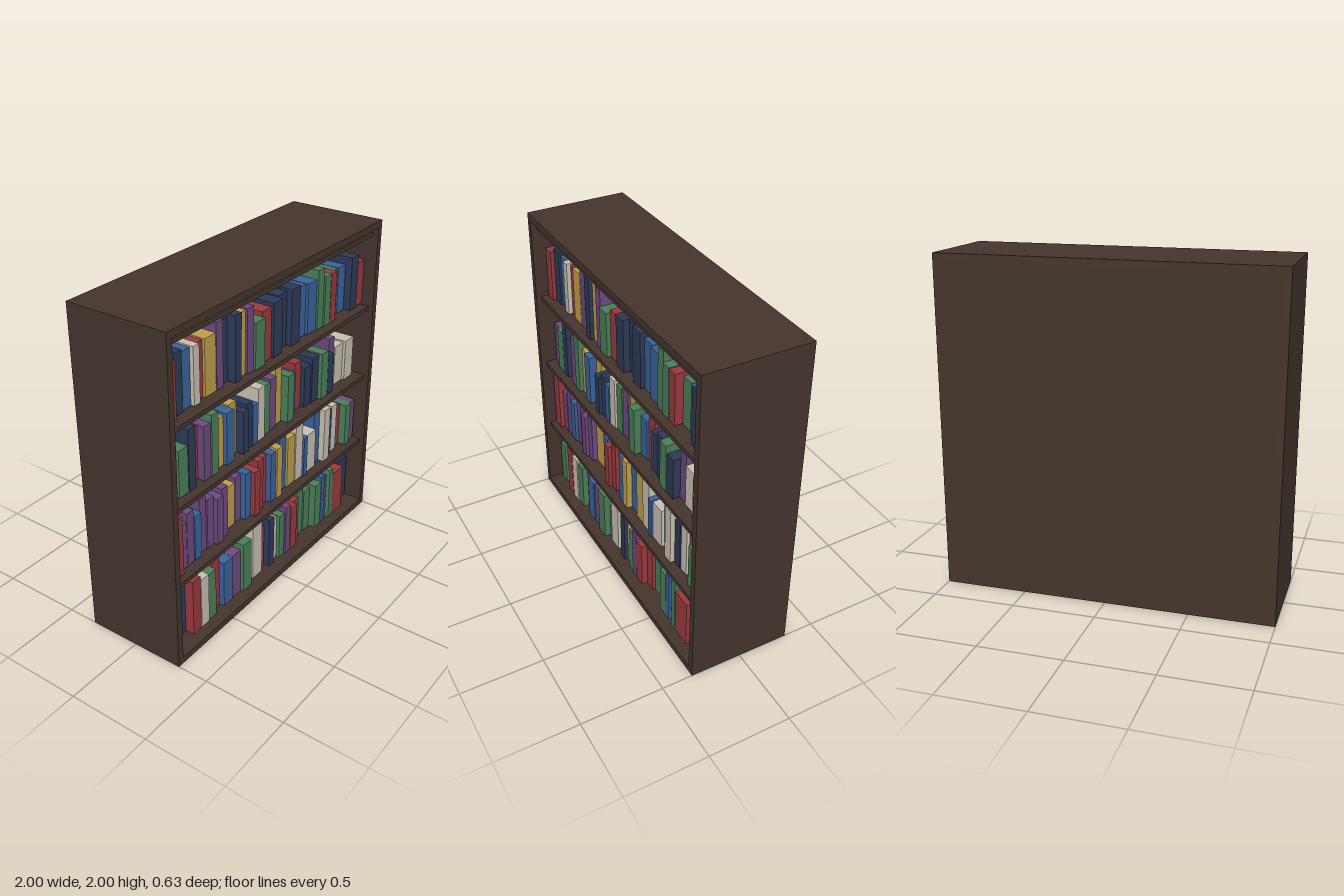
import * as THREE from 'three';

const material = (name, color) => {
  const m = new THREE.MeshStandardMaterial({ color });
  m.name = name;
  return m;
};

const wood = material('dark wood', 0x44352d);
const covers = {
  R: material('red cover', 0x983a3d),
  N: material('navy cover', 0x2d3a57),
  B: material('blue cover', 0x3a639b),
  G: material('green cover', 0x4a7f58),
  P: material('purple cover', 0x6e4a7e),
  Y: material('yellow cover', 0xbf9f4a),
  W: material('cream cover', 0xc9c0b3),
};

// Rows from bottom to top, as runs of equally wide books: covers, right end of the run, usual height
const rows = [
  [['GNRWGR', -0.484, 0.33], ['BPG', -0.222, 0.31], ['G', -0.176, 0.26], ['W', -0.078, 0.38],
    ['RNWGP', 0.203, 0.32], ['RR', 0.348, 0.31], ['GGG', 0.564, 0.33], ['BPG', 0.69, 0.33], ['RN', 0.948, 0.31]],
  [['R', -0.848, 0.36], ['PPBPPPP', -0.417, 0.32], ['Y', -0.313, 0.28], ['PBRRRBY', 0.096, 0.33],
    ['BYW', 0.342, 0.36], ['B', 0.385, 0.26], ['W', 0.489, 0.26], ['BW', 0.626, 0.37], ['NWRGP', 0.944, 0.3]],
  [['PG', -0.77, 0.28], ['NRPG', -0.521, 0.35], ['YBY', -0.302, 0.3], ['NNB', -0.139, 0.28],
    ['WGPYG', 0.203, 0.33], ['BRNNGN', 0.642, 0.29], ['P', 0.706, 0.34], ['WW', 0.904, 0.26]],
  [['RNB', -0.706, 0.31], ['WR', -0.599, 0.33], ['Y', -0.503, 0.32], ['PNNYP', -0.198, 0.35],
    ['GRNNNBB', 0.444, 0.31], ['GGR', 0.639, 0.34], ['GBNR', 0.963, 0.31]],
];

// Box given by its lower and upper corners
function box(parent, name, mat, [x0, y0, z0], [x1, y1, z1]) {
  const mesh = new THREE.Mesh(new THREE.BoxGeometry(x1 - x0, y1 - y0, z1 - z0), mat);
  mesh.position.set((x0 + x1) / 2, (y0 + y1) / 2, (z0 + z1) / 2);
  mesh.name = name;
  parent.add(mesh);
}

export function createModel() {
  const model = new THREE.Group();
  model.name = 'bookcase';
  const D = 0.313, T = 0.04, inner = 1 - T, pitch = 0.4745;

  // Carcass: sides, bottom, top and back
  const carcass = new THREE.Group();
  carcass.name = 'carcass';
  model.add(carcass);
  box(carcass, 'rightSide', wood, [-1, 0, -D], [-inner, 2, D]);
  box(carcass, 'leftSide', wood, [inner, 0, -D], [1, 2, D]);
  box(carcass, 'bottomPanel', wood, [-inner, 0, -D], [inner, T, D]);
  box(carcass, 'topPanel', wood, [-inner, 2 - T, -D], [inner, 2, D]);
  box(carcass, 'backPanel', wood, [-inner, T, -D], [inner, 2 - T, -D + 0.03]);

  // Four evenly spaced shelves, set back from the front edge
  for (let i = 0; i < 4; i++) {
    const y = 0.479 + i * pitch;
    box(carcass, 'shelf', wood, [-inner, y, -D + 0.03], [inner, y + 0.027, 0.28]);
  }

  // Books, with small seeded differences in height and depth
  let seed = 7919;
  const random = () => (seed = (seed * 16807) % 2147483647) / 2147483647;
  rows.forEach((runs, level) => {
    const row = new THREE.Group();
    row.name = 'bookRow';
    model.add(row);
    const base = 0.043 + level * pitch;
    let x = -0.93;
    for (const [letters, end, height] of runs) {
      const width = (end - x) / letters.length;
      const spread = letters.length > 2 ? 0.07 : 0.02;
      for (const letter of letters) {
        const top = base + height + spread * (random() - 0.5);
        const front = 0.19 + 0.06 * random();
        box(row, 'book', covers[letter], [x, base, -front], [x + width - 0.005, top, front]);
        x += width;
      }
    }
  });
  return model;
}
